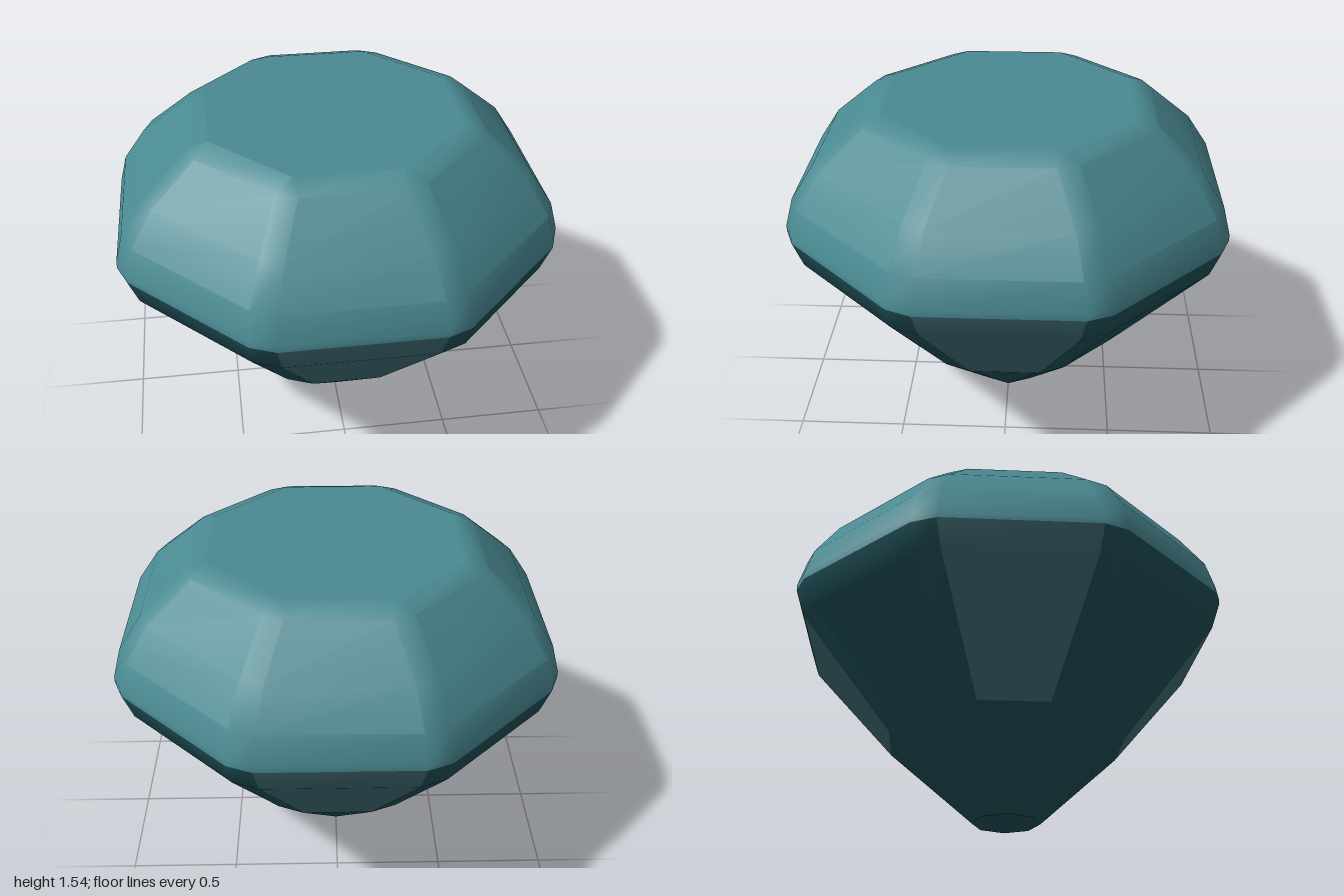
import * as THREE from 'three';

// Each ring: height, distance of the sides from the axis, half-width of a side
const CROWN = [[1.0, 1, 0.35], [1.03, 1, 0.35], [1.16, 0.965, 0.335], [1.32, 0.86, 0.3], [1.5, 0.66, 0.22], [1.54, 0.56, 0.232]];
const PAVILION = [[0, 0.16, 0], [0.38, 0.55, 0.16], [0.88, 0.96, 0.33], [1.0, 1, 0.35]];
const N = 16;

// Sixteen corners per ring: an octagon with bevelled corners
function ringPoints(rings) {
  const pos = [];
  for (const [y, a, h] of rings) {
    for (let k = 0; k < 8; k++) {
      const t = k * Math.PI / 4, c = Math.cos(t), s = Math.sin(t);
      for (const x of [-h, h]) pos.push(x * c + a * s, y, a * c - x * s);
    }
  }
  return pos;
}

// Two triangles of the cell in row r, column j (even columns are sides, odd are bevels)
function cell(r, j) {
  const n = (j + 1) % N, a = r * N + j, b = r * N + n;
  return [a, b, b + N, a, b + N, a + N];
}

// Flat end cap of a ring
function cap(r, up) {
  const out = [];
  for (let j = 1; j < N - 1; j++) {
    out.push(r * N, r * N + (up ? j : j + 1), r * N + (up ? j + 1 : j));
  }
  return out;
}

function geometry(pos, index) {
  const g = new THREE.BufferGeometry();
  g.setAttribute('position', new THREE.Float32BufferAttribute(pos, 3));
  g.setIndex(index);
  g.computeVertexNormals();
  return g;
}

export function createModel() {
  const gem = new THREE.Group();
  gem.name = 'gem';
  const mat = (name, color) => new THREE.MeshStandardMaterial({ name, color });
  const light = mat('crownTeal', 0x4a8a92);
  const dark = mat('pavilionTeal', 0x20525a);
  const mid = mat('facetTeal', 0x42707a);

  const add = (name, geo, material) => {
    const mesh = new THREE.Mesh(geo, material);
    mesh.name = name;
    gem.add(mesh);
  };

  // Builds one half: large facets stand alone, the bevels share smooth normals
  function half(name, rings, bands, top, paint) {
    const pos = ringPoints(rings), rows = rings.length - 1;
    const capIndex = cap(top ? rows : 0, top);
    const all = [...capIndex];
    for (let r = 0; r < rows; r++) for (let j = 0; j < N; j++) all.push(...cell(r, j));
    const smooth = geometry(pos, all);

    const bevels = new Map();
    for (let r = 0; r < rows; r++) {
      for (let j = 0; j < N; j++) {
        if (j % 2 === 0 && bands.some((b) => b.includes(r))) continue;
        const m = paint(r, j);
        bevels.set(m, [...(bevels.get(m) || []), ...cell(r, j)]);
      }
    }
    for (const [m, index] of bevels) {
      const g = smooth.clone();
      g.setIndex(index);
      add(name + 'Bevels', g, m);
    }
    for (const band of bands) {
      for (let j = 0; j < N; j += 2) {
        add(name + 'Facet', geometry(pos, band.flatMap((r) => cell(r, j))), paint(band[0], j));
      }
    }
    add(name + 'Cap', geometry(pos, capIndex), paint(0, 1));
  }

  half('crown', CROWN, [[2, 3]], true, () => light);
  // The four straight sides of the pavilion are paler above the tip
  half('pavilion', PAVILION, [[0], [1]], false, (r, j) => (r > 0 && j % 4 === 0 ? mid : dark));
  return gem;
}
